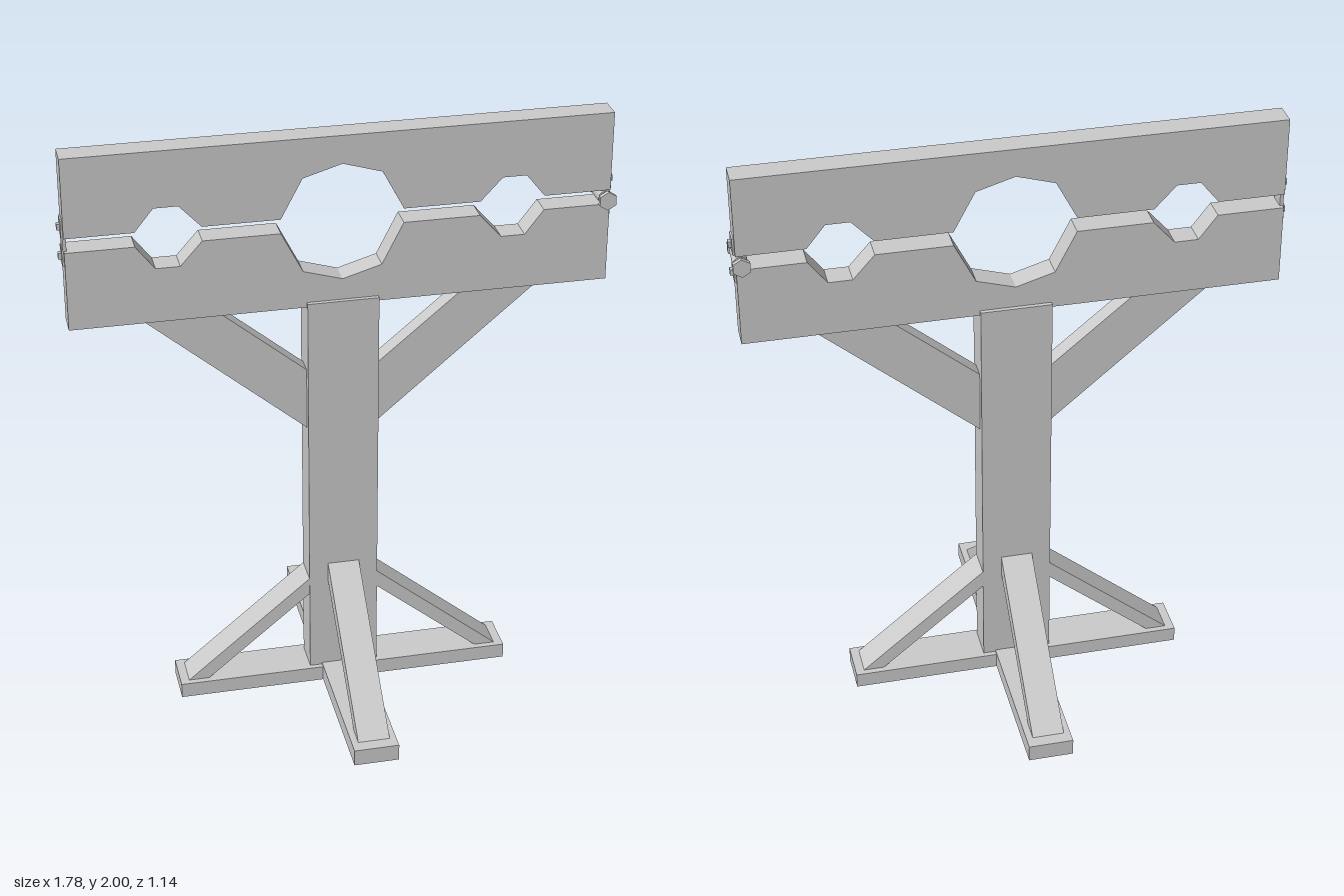
import * as THREE from 'three';

const material = new THREE.MeshStandardMaterial({ color: 0xcccccc, flatShading: true });

function add(parent, name, geometry, x = 0, y = 0, z = 0) {
  const mesh = new THREE.Mesh(geometry, material);
  mesh.name = name;
  mesh.position.set(x, y, z);
  parent.add(mesh);
  return mesh;
}

// Box given by its size and the centre of its base
function addBox(parent, name, w, h, d, x, y, z = 0) {
  return add(parent, name, new THREE.BoxGeometry(w, h, d), x, y + h / 2, z);
}

// Flat outline in x/y, extruded evenly to both sides of z = 0
function slab(points, depth) {
  const shape = new THREE.Shape(points.map(([x, y]) => new THREE.Vector2(x, y)));
  return new THREE.ExtrudeGeometry(shape, { depth, bevelEnabled: false }).translate(0, 0, -depth / 2);
}

// Half of the yoke: outer edge, then the inner edge with wrist, neck and wrist cut-outs
function yokeBoard(outer, inner, wrist, neckSide, neckTip) {
  const half = [[0.197, inner], [0.127, neckSide]];
  const wristCut = [[0.655, inner], [0.594, wrist], [0.516, wrist], [0.445, inner]];
  const rightSide = [...wristCut, ...half];
  const leftSide = rightSide.map(([x, y]) => [-x, y]).reverse();
  return slab([
    [-0.873, outer], [0.873, outer], [0.873, inner],
    ...rightSide, [0, neckTip], ...leftSide, [-0.873, inner],
  ], 0.083);
}

export function createModel() {
  const model = new THREE.Group();
  model.name = 'pillory';
  const frame = new THREE.Group();
  frame.name = 'frame';
  frame.position.x = -0.003;
  model.add(frame);

  // Crossed feet and post
  addBox(frame, 'footBeamSide', 1.134, 0.052, 0.147, 0, 0);
  addBox(frame, 'footBeamFront', 0.15, 0.058, 1.138, 0, 0);
  addBox(frame, 'post', 0.233, 1.39, 0.112, 0, 0.05);

  // Braces at the foot and under the yoke
  const sideBrace = slab([[0.1165, 0.345], [0.47, 0.05], [0.54, 0.05], [0.1165, 0.405]], 0.106);
  const frontBrace = slab([[0.056, 0.39], [0.46, 0.055], [0.53, 0.055], [0.056, 0.46]], 0.106);
  const yokeBrace = slab([[0.1165, 0.979], [0.637, 1.423], [0.391, 1.423], [0.1165, 1.193]], 0.061);
  for (const turn of [0, Math.PI]) {
    add(frame, 'sideFootBrace', sideBrace).rotation.y = turn;
    add(frame, 'frontFootBrace', frontBrace).rotation.y = turn - Math.PI / 2;
    add(frame, 'yokeBrace', yokeBrace).rotation.y = turn;
  }

  // Yoke boards
  add(frame, 'upperBoard', yokeBoard(2, 1.736, 1.812, 1.868, 1.906));
  add(frame, 'lowerBoard', yokeBoard(1.423, 1.688, 1.608, 1.55, 1.512));

  // Iron plates with square bolts at both ends
  for (const side of [-1, 1]) {
    const fitting = new THREE.Group();
    fitting.name = side < 0 ? 'endStrap' : 'hinge';
    frame.add(fitting);
    if (side < 0) addBox(fitting, 'strap', 0.012, 0.155, 0.052, -0.87, 1.635);
    for (const y of [1.636, 1.734]) {
      addBox(fitting, 'plate', 0.012, 0.055, 0.052, side * 0.873, y);
      addBox(fitting, 'bolt', 0.016, 0.02, 0.018, side * 0.881, y + 0.018);
    }
  }

  // Hinge pin with hexagonal ends
  const pin = new THREE.Group();
  pin.name = 'hingePin';
  pin.position.set(0.855, 1.71, 0);
  model.add(pin);
  const bar = (r, l, sides) => new THREE.CylinderGeometry(r, r, l, sides).rotateX(Math.PI / 2).rotateZ(Math.PI / 6);
  add(pin, 'pinShaft', bar(0.017, 0.14, 12));
  add(pin, 'knuckle', bar(0.024, 0.084, 12));
  for (const side of [-1, 1]) {
    add(pin, 'pinHead', bar(0.031, 0.015, 6), 0, 0, side * 0.064).rotation.z = Math.PI / 6;
  }
  return model;
}
